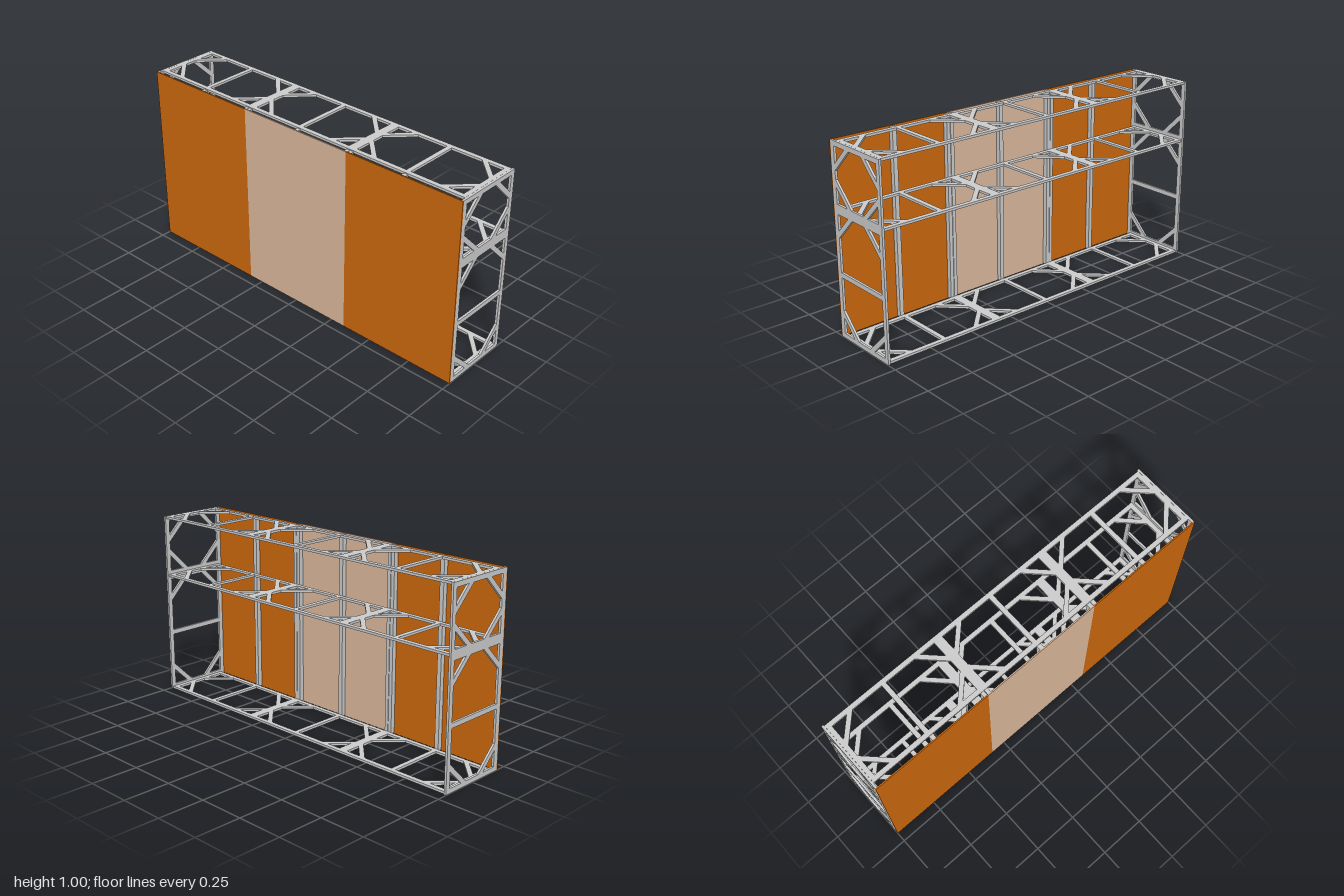
import * as THREE from 'three';

const BAR = 0.025;    // face width of every bar
const THICK = 0.0125; // bar thickness
const BAY = 0.658;    // length of one deck bay

const steel = new THREE.MeshStandardMaterial({ color: 0xcccccc });
const orange = new THREE.MeshStandardMaterial({ color: 0xcc680e });
const tan = new THREE.MeshStandardMaterial({ color: 0xdcb89b });

function box(name, parent, size, pos, material = steel) {
  const mesh = new THREE.Mesh(new THREE.BoxGeometry(...size), material);
  mesh.name = name;
  mesh.position.set(...pos);
  parent.add(mesh);
  return mesh;
}

// Flat braced frame, centred on x, rising from y = 0, centred on z
function bracedFrame(name, w, h, withCrossbar) {
  const frame = new THREE.Group();
  frame.name = name;
  const inner = w - 2 * BAR;
  for (const s of [-1, 1]) {
    box('sideBar', frame, [BAR, h, THICK], [s * (w - BAR) / 2, h / 2, 0]);
    box('endBar', frame, [inner, BAR, THICK], [0, h / 2 + s * (h - BAR) / 2, 0]);
  }
  if (withCrossbar) box('crossbar', frame, [inner, BAR, THICK], [0, h / 2, 0]);

  // Mitred diagonal brace in each corner
  const far = 0.12, near = 0.085;
  for (const sx of [-1, 1]) {
    for (const sy of [-1, 1]) {
      const cx = sx * inner / 2;
      const cy = h / 2 + sy * (h / 2 - BAR);
      const points = [[0, near], [0, far], [far, 0], [near, 0]]
        .map(([x, y]) => new THREE.Vector2(cx - sx * x, cy - sy * y));
      const geometry = new THREE.ExtrudeGeometry(new THREE.Shape(points), { depth: THICK, bevelEnabled: false });
      geometry.translate(0, 0, -THICK / 2);
      const brace = new THREE.Mesh(geometry, steel);
      brace.name = 'cornerBrace';
      frame.add(brace);
    }
  }
  return frame;
}

export function createModel() {
  const model = new THREE.Group();
  model.name = 'framedWall';

  // Two stacked frames at each end
  for (const s of [-1, 1]) {
    const lower = bracedFrame('lowerEndFrame', 0.386, 0.667, true);
    const upper = bracedFrame('upperEndFrame', 0.386, 0.333, false);
    lower.position.set(0.003, 0, s * (1 - THICK / 2));
    upper.position.set(0.003, 0.667, s * (1 - THICK / 2));
    model.add(lower, upper);
  }

  // Three horizontal decks of three bays each
  for (const y of [THICK / 2, 0.667, 1 - THICK / 2]) {
    for (let i = 0; i < 3; i++) {
      const deck = bracedFrame('deckBay', 0.355, BAY, true);
      deck.rotation.x = Math.PI / 2;
      deck.position.set(0.0125, y, (i - 1.5) * BAY);
      model.add(deck);
    }
  }

  // Three wall panels, each with a middle stud
  for (const i of [-1, 0, 1]) {
    const z = i * 2 / 3;
    box('wallPanel', model, [0.007, 1, 2 / 3], [-0.1935, 0.5, z], i === 0 ? tan : orange);
    box('middleStud', model, [0.025, 0.99, 0.024], [-0.1775, 0.5, i * BAY + 0.006]);
  }

  // Paired studs at the joints between panels
  for (const z of [-1 / 3, 1 / 3]) {
    for (const s of [-1, 1]) {
      box('jointStud', model, [0.025, 0.99, 0.02], [-0.1775, 0.5, z + s * 0.0115]);
    }
  }
  return model;
}
